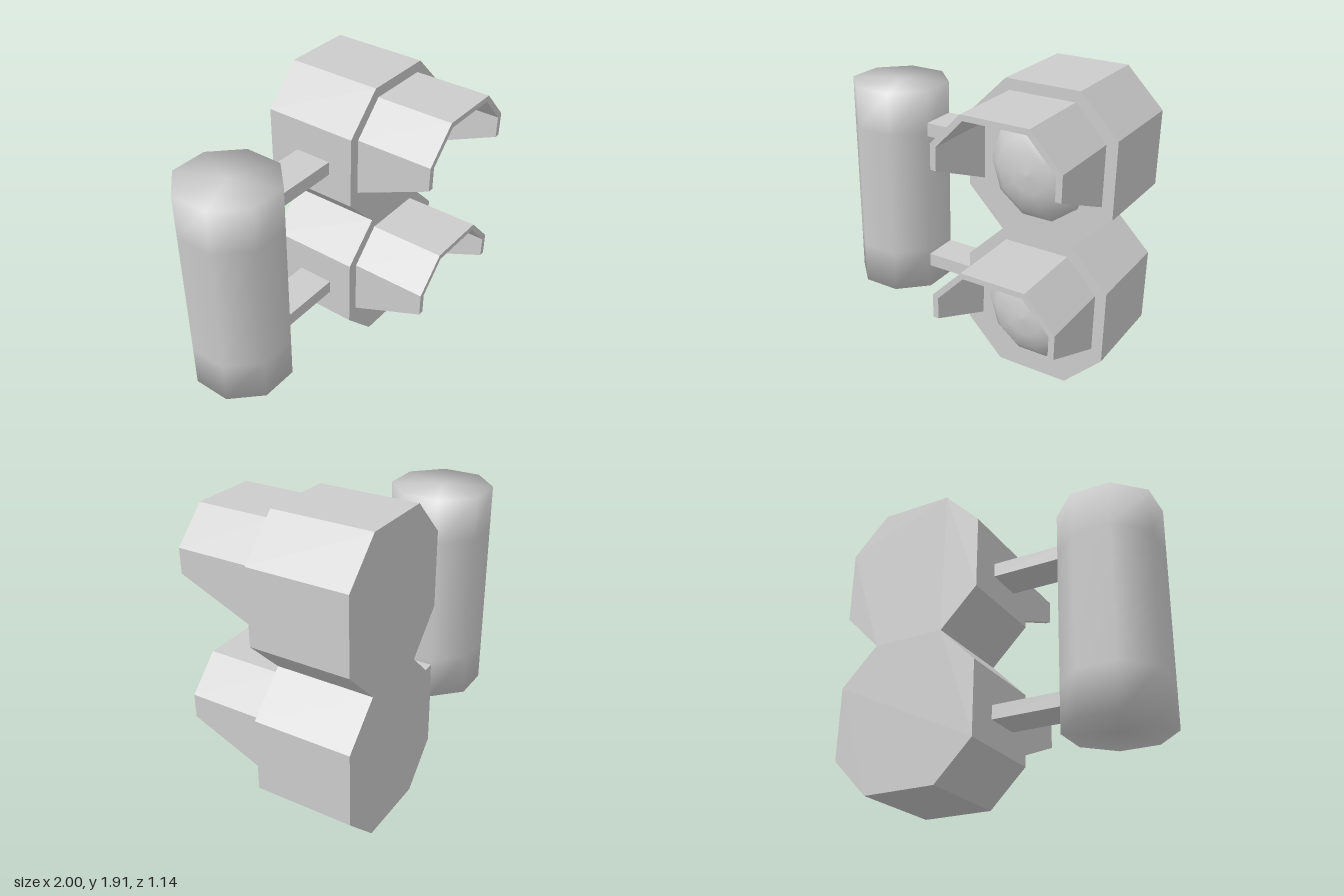
import * as THREE from 'three';
import { mergeVertices } from 'three/addons/utils/BufferGeometryUtils.js';

const CX = 0.522, PITCH = 0.957, FACE_Z = 0.06, BACK_Z = -0.57;
const material = new THREE.MeshStandardMaterial({ color: 0xcccccc });

function part(name, geometry, x = 0, y = 0, z = 0) {
  const mesh = new THREE.Mesh(geometry, material);
  mesh.name = name;
  mesh.position.set(x, y, z);
  return mesh;
}

const toShape = (points) => new THREE.Shape(points.map(([x, y]) => new THREE.Vector2(x, y)));
const mirrorX = (points) => [...points, ...points.map(([x, y]) => [-x, y]).reverse()];

// Two stacked octagons sharing a waist, as one prism
function housingGeometry() {
  const right = [[0.237, 0], [0.478, 0.243], [0.478, 0.717], [0.237, PITCH],
    [0.478, 1.2], [0.478, 1.674], [0.237, 1.915]];
  return new THREE.ExtrudeGeometry(toShape(mirrorX(right)), { depth: FACE_Z - BACK_Z, bevelEnabled: false });
}

// Bent hood, open below, with its lower edge rising towards the front
function visorGeometry() {
  const back = -0.21, front = 0.01, depth = 0.51;
  const outer = mirrorX([[0.408, back], [0.408, 0.165], [0.21, 0.37]]);
  const inner = mirrorX([[0.371, back], [0.371, 0.15], [0.195, 0.335]]).reverse();
  const geo = new THREE.ExtrudeGeometry(toShape([...outer, ...inner]), { depth, bevelEnabled: false });
  const p = geo.attributes.position;
  for (let i = 0; i < p.count; i++) {
    if (p.getY(i) < back + 0.01 && p.getZ(i) > depth / 2) p.setY(i, front);
  }
  geo.computeVertexNormals();
  return geo;
}

// Shallow ten-sided dome facing forwards
function lensGeometry() {
  const profile = [[0.336, -0.03], [0.336, 0], [0.235, 0.095], [0.12, 0.13], [0, 0.14]];
  const geo = new THREE.LatheGeometry(profile.map(([r, h]) => new THREE.Vector2(r, h)), 10, Math.PI / 2);
  return geo.rotateX(Math.PI / 2).scale(0.953, 1, 1);
}

// Eight-sided post, shaded smoothly across sides and caps
function postGeometry() {
  const geo = new THREE.CylinderGeometry(0.327, 0.327, 1.425, 8, 5, false, Math.PI / 8);
  geo.deleteAttribute('normal');
  geo.deleteAttribute('uv');
  const welded = mergeVertices(geo);
  welded.computeVertexNormals();
  return welded;
}

export function createModel() {
  const model = new THREE.Group();
  model.name = 'signalLight';

  model.add(part('housing', housingGeometry(), CX, 0, BACK_Z));
  model.add(part('post', postGeometry(), -0.698, 0.962, -0.233));

  // Lens, visor and bracket for each lamp
  const lens = lensGeometry(), visor = visorGeometry();
  const bracket = new THREE.BoxGeometry(0.47, 0.09, 0.25);
  ['lower', 'upper'].forEach((level, i) => {
    const y = i * PITCH;
    model.add(part(level + 'Lens', lens, CX, 0.457 + y, FACE_Z));
    model.add(part(level + 'Visor', visor, CX, 0.52 + y, FACE_Z));
    model.add(part(level + 'Bracket', bracket, -0.175, 0.458 + y, -0.233));
  });
  return model;
}
